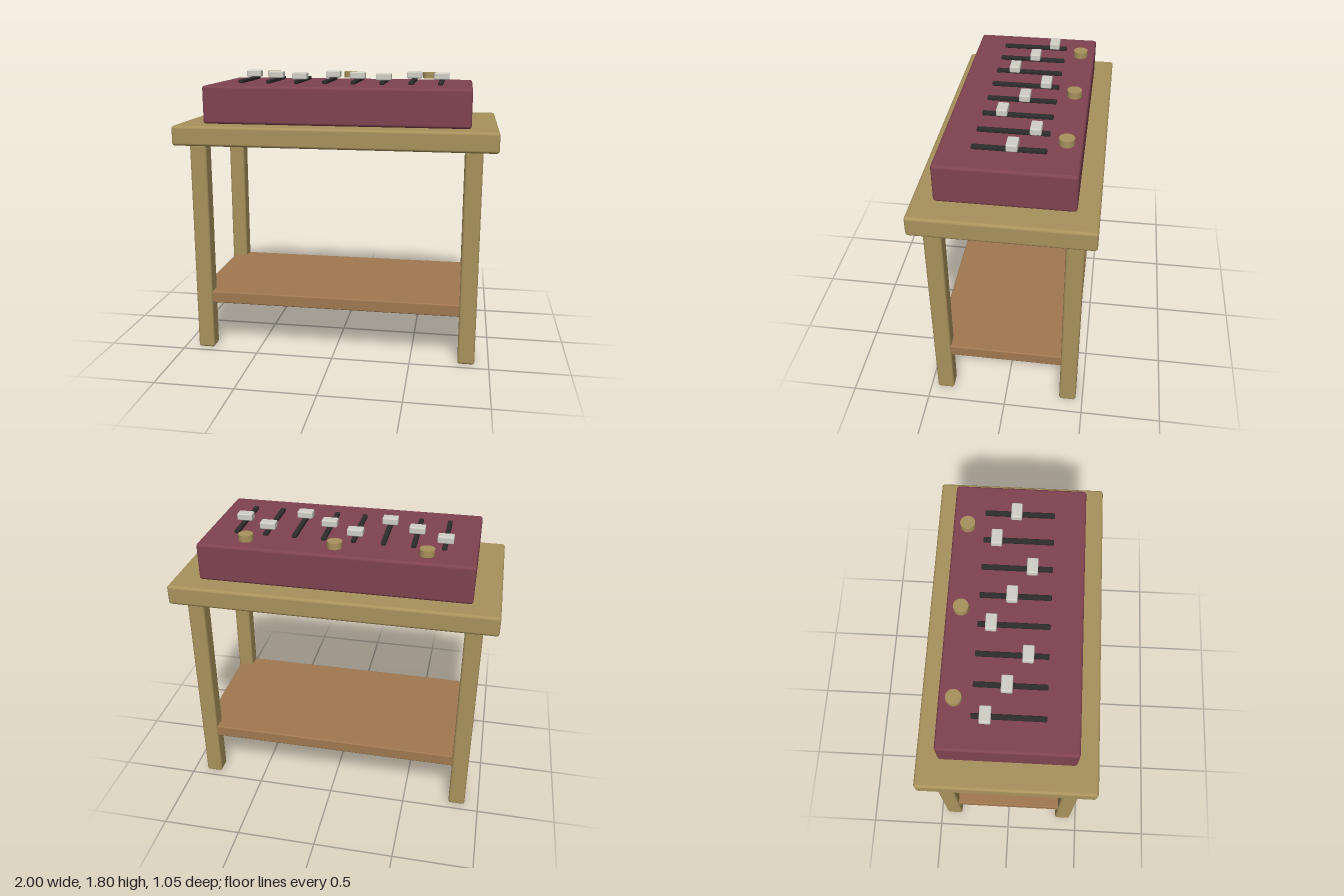
import * as THREE from 'three';
import { RoundedBoxGeometry } from 'three/addons/geometries/RoundedBoxGeometry.js';

const mat = (color) => new THREE.MeshStandardMaterial({ color });

export function createModel() {
  const group = new THREE.Group();
  group.name = 'mixerOnTable';
  const wood = mat(0xa8925c), shelfWood = mat(0xa07850), red = mat(0x7f4350);
  const dark = mat(0x2c2c2c), pale = mat(0xd0d0c8);

  const add = (name, geometry, material, x, y, z) => {
    const mesh = new THREE.Mesh(geometry, material);
    mesh.name = name;
    mesh.position.set(x, y, z);
    group.add(mesh);
  };
  const rounded = (w, h, d, r) => new RoundedBoxGeometry(w, h, d, 3, r);

  // Table: top, four legs and a low shelf
  add('tableTop', rounded(2, 0.125, 1.052, 0.018), wood, 0, 1.43, 0);
  const leg = rounded(0.107, 1.368, 0.107, 0.016);
  for (const sx of [-1, 1])
    for (const sz of [-1, 1]) add('leg', leg, wood, sx * 0.857, 0.684, sz * 0.403);
  add('shelf', rounded(1.8, 0.078, 0.89, 0.008), shelfWood, 0, 0.354, 0);

  // Console body
  add('consoleBody', rounded(1.67, 0.238, 0.8, 0.018), red, 0, 1.611, 0);

  // Eight sliders, each a slot with a cap, in a repeating three-step pattern
  const slot = rounded(0.03, 0.022, 0.42, 0.005);
  const cap = rounded(0.098, 0.044, 0.066, 0.008);
  for (let i = 0; i < 8; i++) {
    const x = (i - 3.5) * 0.182;
    add('sliderSlot', slot, dark, x, 1.745, 0);
    add('sliderCap', cap, pale, x, 1.777, -0.13 + (i % 3) * 0.11);
  }

  // Three knobs along the back
  const knob = new THREE.CylinderGeometry(0.045, 0.045, 0.04, 24);
  for (const x of [-0.545, 0, 0.545]) add('knob', knob, wood, x, 1.764, -0.31);

  return group;
}
